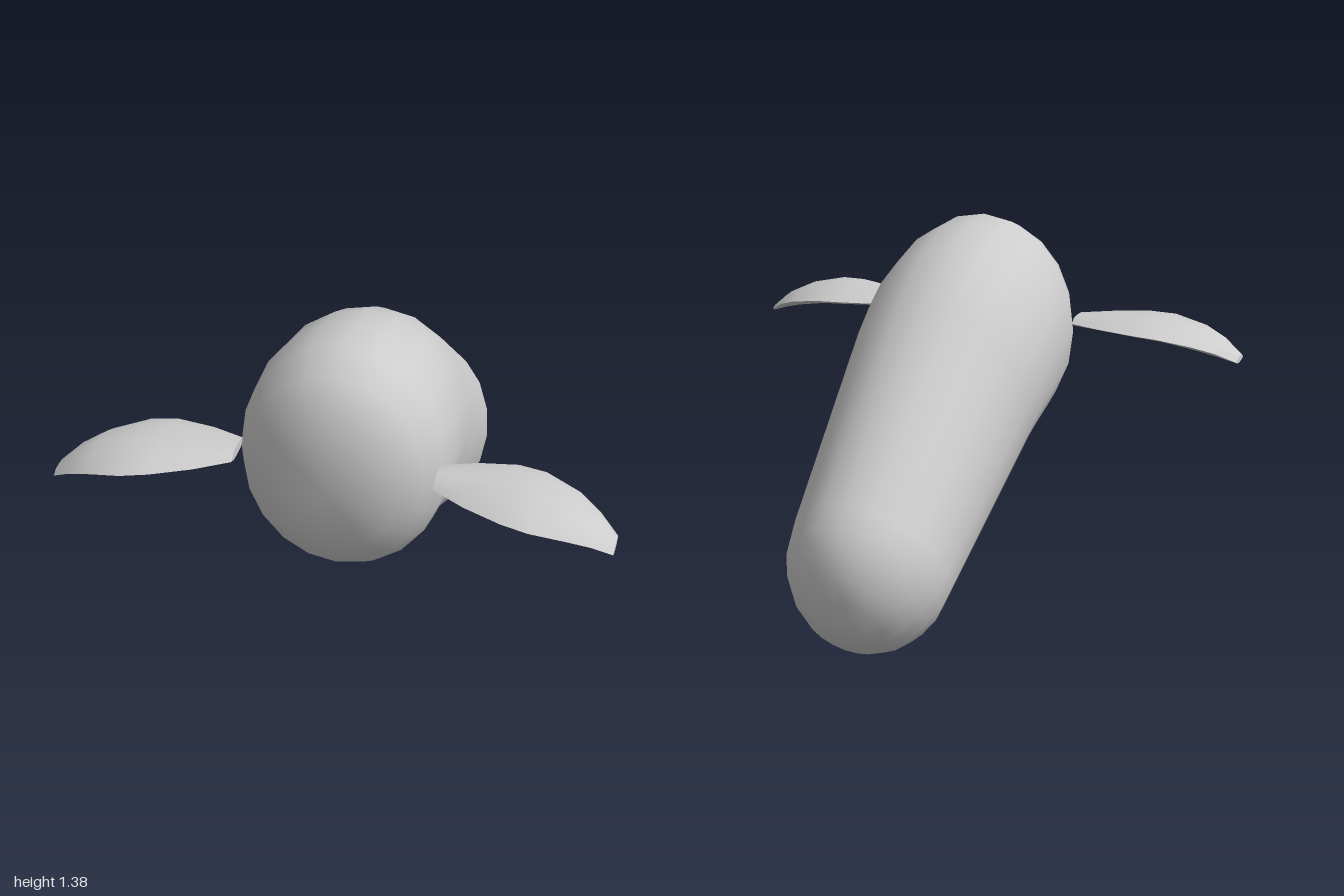
import * as THREE from 'three';
import { toCreasedNormals } from 'three/addons/utils/BufferGeometryUtils.js';

// Skin closed rings of points, with a centre point closing each end
function loft(rings, startPole, endPole) {
  const n = rings[0].length;
  const points = [...rings.flat(), startPole, endPole];
  const start = points.length - 2, end = points.length - 1;
  const index = [];
  const last = (rings.length - 1) * n;
  for (let i = 0; i < n; i++) {
    const j = (i + 1) % n;
    for (let r = 0; r < last; r += n) {
      index.push(r + i, r + j, r + n + i, r + j, r + n + j, r + n + i);
    }
    index.push(start, j, i, end, last + i, last + j);
  }
  const geometry = new THREE.BufferGeometry().setFromPoints(points);
  geometry.setIndex(index);
  geometry.computeVertexNormals();
  return geometry;
}

// Elliptical body ring from its top and bottom points (z, y) and half width
function bodyRing([zTop, yTop, zBottom, yBottom, width]) {
  return Array.from({ length: 20 }, (_, i) => {
    const a = (i / 20) * Math.PI * 2;
    const t = (1 + Math.cos(a)) / 2;
    return new THREE.Vector3(
      width * Math.sin(a),
      yBottom + (yTop - yBottom) * t,
      zBottom + (zTop - zBottom) * t
    );
  });
}

function bodyGeometry() {
  // zTop, yTop, zBottom, yBottom, halfWidth, from the face to the tail
  const sections = [
    [0.78, 1.22, 0.77, 0.68, 0.23],
    [0.69, 1.34, 0.68, 0.56, 0.33],
    [0.56, 1.39, 0.60, 0.505, 0.37],
    [0.40, 1.385, 0.50, 0.49, 0.383],
    [0.22, 1.34, 0.36, 0.45, 0.38],
    [0.07, 1.27, 0.31, 0.425, 0.372],
    [-0.06, 1.19, 0.25, 0.39, 0.365],
    [-0.77, 0.64, -0.36, 0.065, 0.30],
  ];
  // Rounded tail cap, swept along the body axis
  const cz = -0.565, cy = 0.3525, hz = -0.205, hy = 0.2875;
  const az = -0.814, ay = -0.581, length = 0.33;
  for (let k = 1; k <= 5; k++) {
    const a = (k / 6) * Math.PI / 2, c = Math.cos(a), d = Math.sin(a) * length;
    sections.push([
      cz + az * d + hz * c, cy + ay * d + hy * c,
      cz + az * d - hz * c, cy + ay * d - hy * c, 0.30 * c,
    ]);
  }
  return loft(
    sections.map(bodyRing),
    new THREE.Vector3(0, 0.96, 0.837),
    new THREE.Vector3(0, cy + ay * length, cz + az * length)
  );
}

// Lens-shaped, drooping flipper; side is 1 or -1
function flipperGeometry(side) {
  // x, zBack, zFront, yTop, yBottom
  const sections = [
    [0.36, 0.585, 0.735, 0.993, 0.955],
    [0.48, 0.545, 0.81, 1.0, 0.95],
    [0.62, 0.52, 0.87, 1.006, 0.94],
    [0.72, 0.53, 0.89, 1.0, 0.93],
    [0.85, 0.58, 0.865, 0.97, 0.90],
    [0.93, 0.635, 0.835, 0.93, 0.873],
    [1.0, 0.695, 0.805, 0.87, 0.845],
  ];
  // Position across the chord and height through the thickness
  const outline = [
    [0, 0.5], [0.22, 0.92], [0.5, 1], [0.78, 0.92],
    [1, 0.35], [0.78, 0.06], [0.5, 0], [0.22, 0.08],
  ];
  const rings = sections.map(([x, zB, zF, yT, yB]) => {
    const ring = outline.map(([u, v]) =>
      new THREE.Vector3(side * x, yB + (yT - yB) * v, zB + (zF - zB) * u));
    return side > 0 ? ring : ring.reverse();
  });
  const middle = (ring) => ring
    .reduce((sum, p) => sum.add(p), new THREE.Vector3())
    .divideScalar(ring.length);
  const geometry = loft(rings, middle(rings[0]), middle(rings[rings.length - 1]));
  return toCreasedNormals(geometry, 0.8);
}

export function createModel() {
  const group = new THREE.Group();
  const grey = new THREE.MeshStandardMaterial({ color: 0xcccccc });
  grey.name = 'light grey';

  const add = (name, geometry) => {
    const mesh = new THREE.Mesh(geometry, grey);
    mesh.name = name;
    group.add(mesh);
  };
  add('body', bodyGeometry());
  add('leftFlipper', flipperGeometry(1));
  add('rightFlipper', flipperGeometry(-1));
  return group;
}
